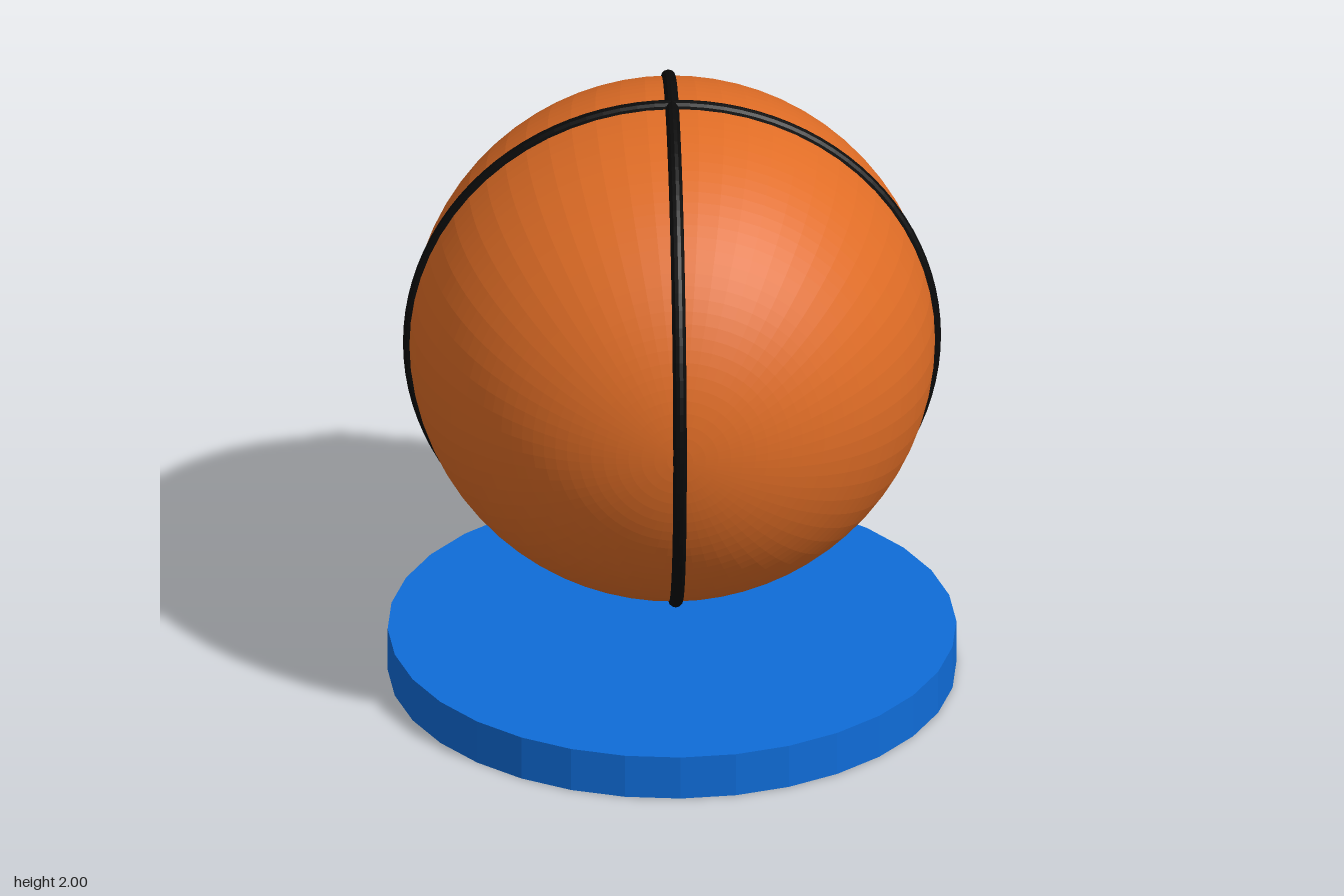
import * as THREE from 'three';

export function createModel() {
  const group = new THREE.Group();
  const material = (name, color) => {
    const m = new THREE.MeshStandardMaterial({ color, flatShading: true });
    m.name = name;
    return m;
  };
  const orange = material('orange', 0xe06d26);
  const black = material('black', 0x0a0a0a);
  const blue = material('blue', 0x0f6cd8);

  const add = (name, geometry, mat, y) => {
    const mesh = new THREE.Mesh(geometry, mat);
    mesh.name = name;
    mesh.position.y = y;
    group.add(mesh);
    return mesh;
  };

  const ballY = 1.158;

  // Round 32-sided base
  add('base', new THREE.CylinderGeometry(0.89, 0.89, 0.145, 32), blue, 0.0725);

  // Floating ball, with its poles on the z axis
  add('ball', new THREE.SphereGeometry(0.823, 64, 64).rotateX(Math.PI / 2), orange, ballY);

  // Two crossing upright seams
  ['sideSeam', 'frontSeam'].forEach((name, i) => {
    const seam = add(name, new THREE.TorusGeometry(0.82, 0.022, 12, 96), black, ballY);
    seam.rotation.y = i * Math.PI / 2;
  });

  return group;
}
